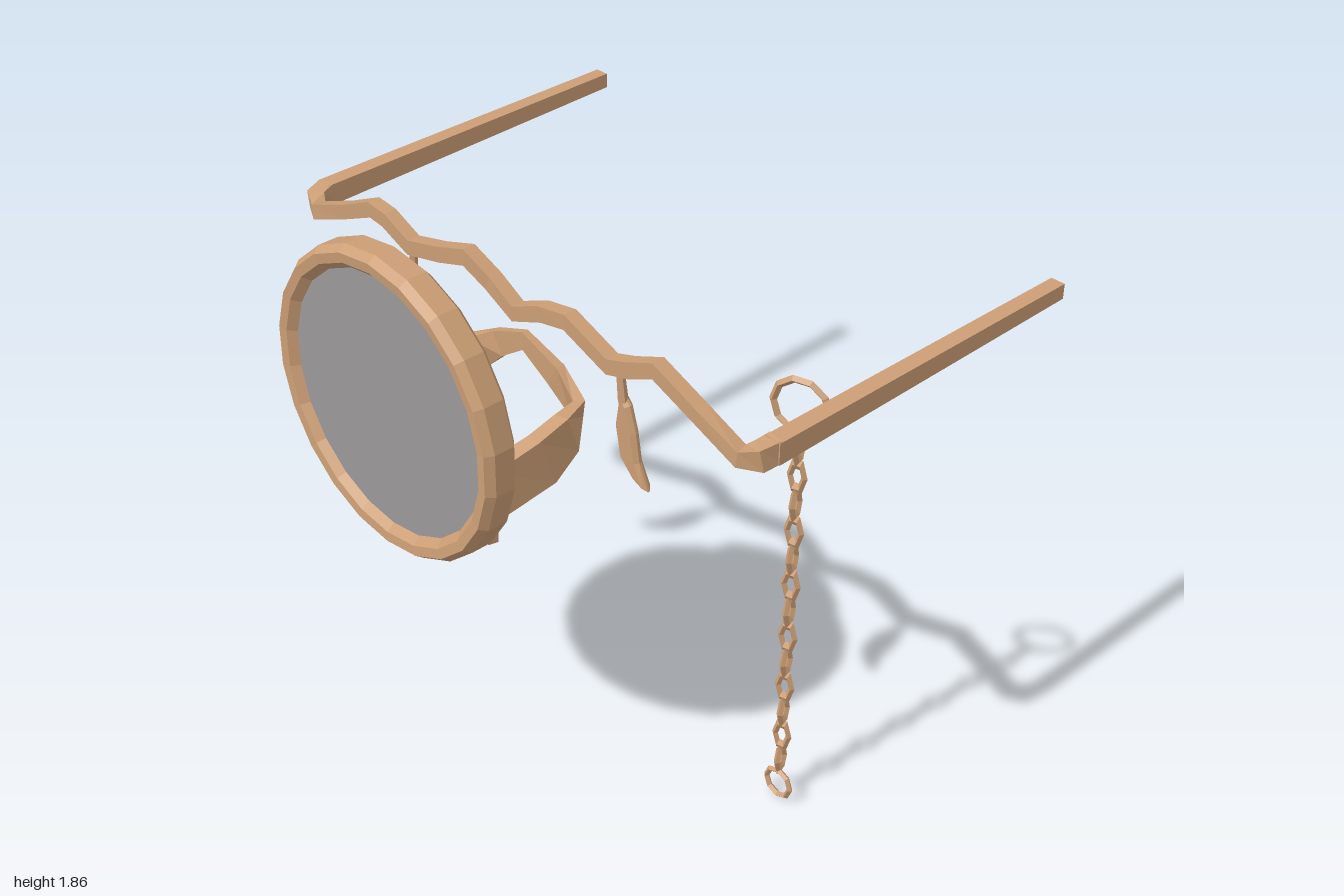
import * as THREE from 'three';

const wood = new THREE.MeshStandardMaterial({ color: 0xcb9e75, flatShading: true });
wood.name = 'tan wood';
const glass = new THREE.MeshStandardMaterial({ color: 0x9a9898, side: THREE.DoubleSide });
glass.name = 'grey glass';

function add(parent, name, geometry, material = wood) {
  const mesh = new THREE.Mesh(geometry, material);
  mesh.name = name;
  parent.add(mesh);
  return mesh;
}

// Sweeps a rectangle along stations of [x, y, z, width, height]
function sweep(stations) {
  const at = stations.map((s) => new THREE.Vector3(s[0], s[1], s[2]));
  const pos = [], index = [];
  const corners = [[1, 1], [-1, 1], [-1, -1], [1, -1]];
  stations.forEach((s, i) => {
    const before = at[Math.max(i - 1, 0)], after = at[Math.min(i + 1, at.length - 1)];
    const a = at[i].clone().sub(before).normalize(), b = after.clone().sub(at[i]).normalize();
    const t = a.add(b).normalize();
    const side = t.clone().cross(new THREE.Vector3(0, 1, 0)).normalize();
    const up = side.clone().cross(t);
    for (const [u, v] of corners) {
      const p = at[i].clone().addScaledVector(side, u * s[3] / 2).addScaledVector(up, v * s[4] / 2);
      pos.push(p.x, p.y, p.z);
    }
    if (i > 0) {
      for (let j = 0; j < 4; j++) {
        const k = (j + 1) % 4, p = (i - 1) * 4, q = i * 4;
        index.push(p + j, q + j, p + k, p + k, q + j, q + k);
      }
    }
  });
  const e = (stations.length - 1) * 4;
  index.push(0, 1, 2, 0, 2, 3, e, e + 2, e + 1, e, e + 3, e + 2);
  const g = new THREE.BufferGeometry();
  g.setAttribute('position', new THREE.Float32BufferAttribute(pos, 3));
  g.setIndex(index);
  const flat = g.toNonIndexed();
  flat.computeVertexNormals();
  return flat;
}

export function createModel() {
  const model = new THREE.Group();
  model.name = 'branchSpectacles';

  // Round lens rim, bevelled and faceted
  const profile = [[0.405, 0.76], [0.45, 0.755], [0.473, 0.775], [0.473, 0.84],
    [0.455, 0.865], [0.425, 0.862], [0.4, 0.835], [0.405, 0.76]];
  const rimGeo = new THREE.LatheGeometry(profile.map(([r, h]) => new THREE.Vector2(r, h)), 22);
  rimGeo.rotateX(Math.PI / 2);
  add(model, 'lensRim', rimGeo).position.y = 1.39;
  add(model, 'lens', new THREE.CircleGeometry(0.41, 22), glass).position.set(0, 1.39, 0.838);

  // Wavy branch across the brow
  add(model, 'browBranch', sweep([
    [-0.965, 1.485, 0.3, 0.055, 0.07], [-0.955, 1.475, 0.355, 0.055, 0.07],
    [-0.91, 1.465, 0.38, 0.045, 0.05], [-0.75, 1.53, 0.38, 0.045, 0.045],
    [-0.62, 1.59, 0.38, 0.045, 0.05], [-0.55, 1.582, 0.38, 0.045, 0.05],
    [-0.44, 1.535, 0.38, 0.045, 0.05], [-0.3, 1.57, 0.38, 0.045, 0.05],
    [-0.18, 1.61, 0.38, 0.045, 0.055], [-0.08, 1.565, 0.375, 0.045, 0.05],
    [0.03, 1.515, 0.38, 0.045, 0.05], [0.14, 1.56, 0.375, 0.045, 0.05],
    [0.25, 1.585, 0.38, 0.045, 0.05], [0.42, 1.52, 0.38, 0.045, 0.05],
    [0.5, 1.545, 0.38, 0.045, 0.05], [0.6, 1.59, 0.38, 0.045, 0.05],
    [0.75, 1.53, 0.38, 0.045, 0.045], [0.91, 1.465, 0.38, 0.045, 0.05],
    [0.955, 1.475, 0.355, 0.055, 0.07], [0.965, 1.485, 0.3, 0.055, 0.07],
  ]));

  for (const s of [1, -1]) {
    const label = s > 0 ? 'left' : 'right';

    // Tapered temple arm
    add(model, label + 'Temple', sweep([
      [s * 0.965, 1.482, 0.32, 0.055, 0.07], [s * 0.97, 1.494, -0.87, 0.048, 0.05],
    ]));

    // Hanging leaf with its stem
    const outline = [[0.45, 1.44], [0.485, 1.41], [0.51, 1.33], [0.525, 1.24], [0.56, 1.16],
      [0.505, 1.175], [0.45, 1.23], [0.43, 1.33]];
    const leaf = new THREE.ExtrudeGeometry(
      new THREE.Shape(outline.map(([x, y]) => new THREE.Vector2(s * x, y))),
      { depth: 0.008, bevelThickness: 0.012, bevelSize: 0.012, bevelOffset: -0.012, bevelSegments: 1 });
    add(model, label + 'Leaf', leaf).position.z = 0.365;
    const stem = add(model, label + 'LeafStem', new THREE.CylinderGeometry(0.012, 0.016, 0.12, 5));
    stem.position.set(s * 0.452, 1.475, 0.375);
    stem.rotation.z = s * 0.12;

    // Flared foot joining the nose strap to the rim
    add(model, label + 'StrapFoot', sweep([
      [s * 0.36, 1.13, 0.765, 0.03, 0.12], [s * 0.25, 1.14, 0.74, 0.05, 0.12],
      [s * 0.18, 1.13, 0.74, 0.05, 0.13], [s * 0.11, 1.08, 0.765, 0.03, 0.1],
    ].map((p, i, all) => (s > 0 ? p : all[3 - i]))));
  }

  // Curved strap that runs back from the rim and arches over the nose
  const half = [
    [0.2, 1.1, 0.78, 0.07, 0.15], [0.23, 1.13, 0.65, 0.06, 0.16], [0.262, 1.18, 0.5, 0.05, 0.17],
    [0.255, 1.22, 0.4, 0.045, 0.15], [0.22, 1.25, 0.325, 0.035, 0.11], [0.12, 1.32, 0.32, 0.03, 0.08],
  ];
  const mirrored = half.map(([x, ...rest]) => [-x, ...rest]).reverse();
  add(model, 'noseStrap', sweep([...half, [0, 1.385, 0.33, 0.022, 0.06], ...mirrored]));

  // Chain hanging from the left temple
  const chain = new THREE.Group();
  chain.name = 'chain';
  chain.position.set(0.825, 0, 0.055);
  model.add(chain);
  const topRing = add(chain, 'chainTopRing', new THREE.TorusGeometry(0.086, 0.012, 4, 10));
  topRing.position.set(0, 1.43, 0);
  topRing.rotation.y = 0.27;
  const linkGeo = new THREE.TorusGeometry(0.023, 0.01, 4, 6);
  linkGeo.scale(1, 2, 1);
  for (let i = 0; i < 13; i++) {
    const link = add(chain, 'chainLink' + (i + 1), linkGeo);
    link.position.y = 1.295 - i * 0.0955;
    link.rotation.y = (i % 2 ? 0.25 : 0.25 + Math.PI / 2);
  }
  add(chain, 'chainEndRing', new THREE.TorusGeometry(0.048, 0.01, 4, 8)).position.set(0.005, 0.058, 0.01);

  return model;
}
